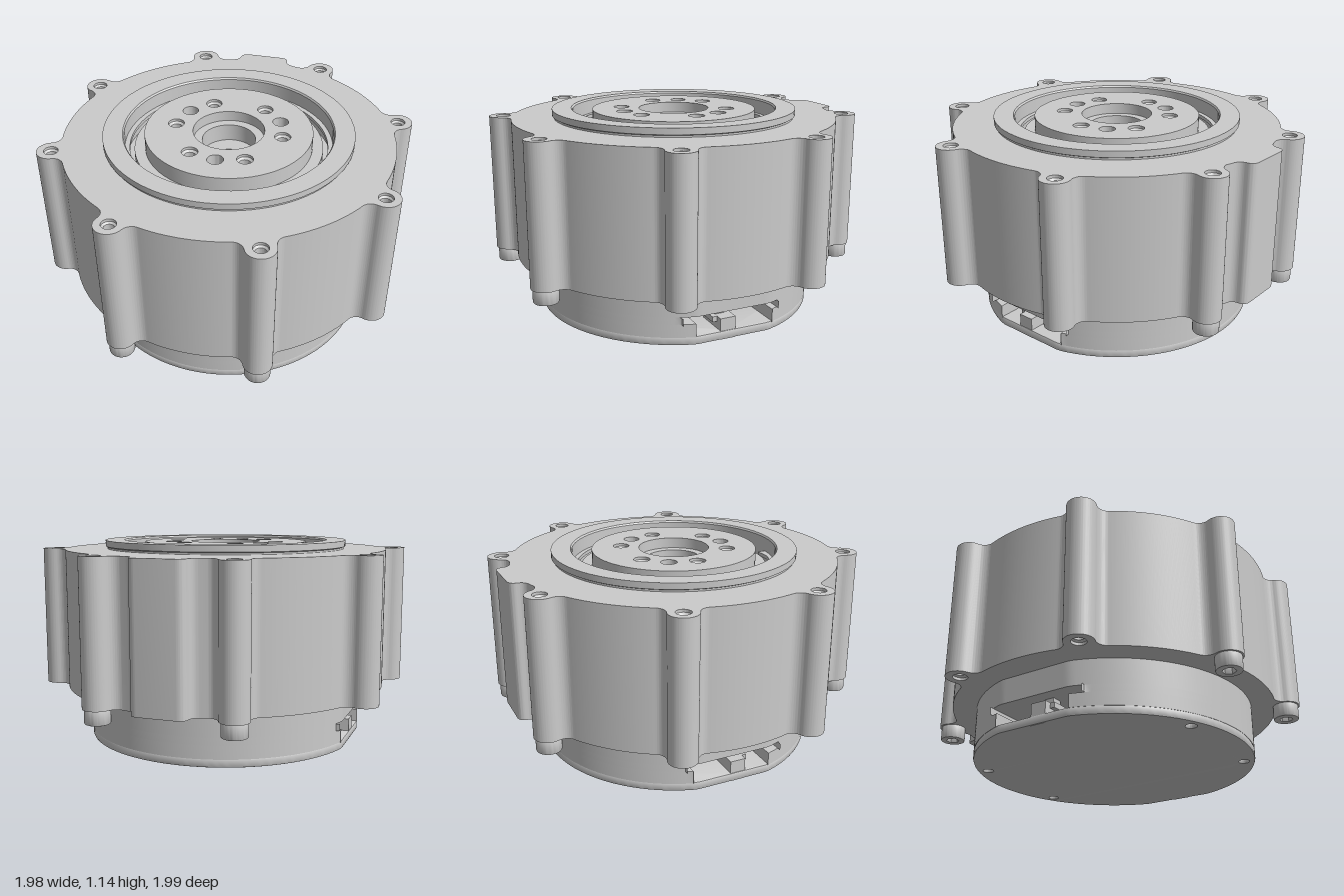
import * as THREE from 'three';
import { toCreasedNormals } from 'three/addons/utils/BufferGeometryUtils.js';

const material = new THREE.MeshStandardMaterial({ color: 0xcccccc, side: THREE.DoubleSide });
const TAU = Math.PI * 2;
const EAR_R = 0.984, EAR = 0.08, BODY_R = 0.93;
const earAngles = Array.from({ length: 8 }, (_, i) => Math.PI / 8 + i * Math.PI / 4);

const polar = (r, a) => [r * Math.cos(a), r * Math.sin(a)];

function addMesh(parent, name, geometry) {
  const mesh = new THREE.Mesh(geometry, material);
  mesh.name = name;
  parent.add(mesh);
  return mesh;
}

// Plan shapes use (x, -z); the extrusion runs up from y0 to y1
function slab(shape, y0, y1, bevel = 0) {
  const g = new THREE.ExtrudeGeometry(shape, {
    depth: y1 - y0 - 2 * bevel, curveSegments: 32, bevelEnabled: bevel > 0,
    bevelSize: bevel, bevelThickness: bevel, bevelOffset: -bevel, bevelSegments: 2,
  });
  g.rotateX(-Math.PI / 2).translate(0, y0 + bevel, 0);
  return toCreasedNormals(g, 0.5);
}

function lathe(points, segments = 96, start = 0, length = TAU) {
  const pts = points.map(([x, y]) => new THREE.Vector2(x, y));
  return toCreasedNormals(new THREE.LatheGeometry(pts, segments, start, length), 0.5);
}

function circle(r, x = 0, y = 0, Type = THREE.Shape) {
  const s = new Type();
  s.absarc(x, y, r, 0, TAU, false);
  return s;
}
const hole = (r, x = 0, y = 0) => circle(r, x, y, THREE.Path);

// Round housing with eight filleted bolt ears and one flat boss at the back
function housingShape() {
  const f = 0.06, d1 = BODY_R + f, d2 = EAR + f;
  const delta = Math.acos((d1 * d1 + EAR_R * EAR_R - d2 * d2) / (2 * d1 * EAR_R));
  const s = new THREE.Shape();
  earAngles.forEach((a, i) => {
    const [ex, ey] = polar(EAR_R, a);
    const [ax, ay] = polar(d1, a - delta), [bx, by] = polar(d1, a + delta);
    const toA = Math.atan2(ay - ey, ax - ex), toB = Math.atan2(by - ey, bx - ex);
    s.absarc(ax, ay, f, a - delta + Math.PI, toA + Math.PI, true);
    s.absarc(ex, ey, EAR, toA, toB, false);
    s.absarc(bx, by, f, toB + Math.PI, a + delta + Math.PI, true);
    const next = a + Math.PI / 4 - delta;
    if (i === 1) {
      s.lineTo(0.2, 0.91);
      s.quadraticCurveTo(0.155, 0.92, 0.153, 0.96);
      s.quadraticCurveTo(0.152, 1.0, 0.11, 1.005);
      s.lineTo(-0.11, 1.005);
      s.quadraticCurveTo(-0.152, 1.0, -0.153, 0.96);
      s.quadraticCurveTo(-0.155, 0.92, -0.2, 0.91);
    } else {
      s.absarc(0, 0, BODY_R, a + delta, next, false);
    }
  });
  s.holes.push(hole(0.65));
  earAngles.forEach((a) => s.holes.push(hole(0.04, ...polar(EAR_R, a))));
  return s;
}

// Base outline with side flats, cut to the band lo..hi across the depth
function baseShape(lo = -1, hi = 1) {
  const pts = [];
  for (let i = 0; i < 192; i++) {
    const [x, y] = polar(0.795, (i / 192) * TAU);
    const p = new THREE.Vector2(THREE.MathUtils.clamp(x, -0.765, 0.765), THREE.MathUtils.clamp(y, lo, hi));
    if (!pts.length || pts[pts.length - 1].distanceTo(p) > 1e-4) pts.push(p);
  }
  return new THREE.Shape(pts);
}

function box(parent, name, w, h, d, x, y, z) {
  addMesh(parent, name, new THREE.BoxGeometry(w, h, d)).position.set(x, y, z);
}

function buildBase() {
  const base = new THREE.Group();
  base.name = 'base';
  const bottom = baseShape();
  for (const x of [-0.32, 0.32]) for (const y of [-0.66, 0.66]) bottom.holes.push(hole(0.028, x, y));
  addMesh(base, 'bottomPlate', slab(bottom, 0, 0.05, 0.01));
  // Side walls step back to leave a passage through both flats
  addMesh(base, 'frontLowerWall', slab(baseShape(-1, -0.22), 0.045, 0.12));
  addMesh(base, 'backLowerWall', slab(baseShape(0.24, 1), 0.045, 0.12));
  addMesh(base, 'frontUpperWall', slab(baseShape(-1, -0.295), 0.12, 0.16));
  addMesh(base, 'backUpperWall', slab(baseShape(0.28, 1), 0.12, 0.16));
  addMesh(base, 'baseTop', slab(baseShape(), 0.16, 0.31));
  for (const side of [-1, 1]) {
    box(base, 'portDivider', 0.2, 0.12, 0.09, side * 0.66, 0.06, 0.03);
    box(base, 'portLedge', 0.12, 0.03, 0.035, side * 0.66, 0.105, 0.085);
    box(base, 'portPin', 0.06, 0.06, 0.055, side * 0.66, 0.14, 0.045);
  }
  return base;
}

function buildOutput() {
  const output = new THREE.Group();
  output.name = 'output';
  // Raised collar, bore and stepped floor of the groove
  addMesh(output, 'collar', lathe([
    [0.69, 1.05], [0.69, 1.1], [0.7, 1.105], [0.7, 1.14], [0.59, 1.14], [0.583, 1.13],
    [0.583, 0.96], [0.53, 0.96], [0.53, 1.04], [0.46, 1.04],
  ]));
  // Split retaining ring with its gap and lugs at the front
  addMesh(output, 'retainingRing', lathe([
    [0.555, 1.03], [0.585, 1.03], [0.585, 1.05], [0.555, 1.05], [0.555, 1.03],
  ], 96, 0.09, TAU - 0.18));
  box(output, 'ringLug', 0.12, 0.02, 0.03, -0.11, 1.04, 0.55);
  box(output, 'ringLug', 0.03, 0.02, 0.03, 0.065, 1.04, 0.55);

  // Hub with six threaded holes and three pin windows
  const hub = circle(0.47);
  hub.holes.push(hole(0.2));
  const bolts = Array.from({ length: 6 }, (_, i) => polar(0.305, i * TAU / 6));
  const pins = [1, 5, 9].map((k) => polar(0.305, k * TAU / 12));
  for (const p of [...bolts, ...pins]) hub.holes.push(hole(0.045, ...p));
  addMesh(output, 'hub', slab(hub, 0.97, 1.13));
  addMesh(output, 'hubFloor', lathe([[0.47, 0.97], [0.15, 0.97]]));
  addMesh(output, 'hubBore', lathe([
    [0.2, 1.13], [0.2, 1.07], [0.15, 1.07], [0.15, 0.97], [0.05, 0.97], [0.05, 0.9], [0, 0.9],
  ], 64));
  for (const [x, y] of bolts) {
    addMesh(output, 'hubThread', lathe([[0.045, 1.115], [0.032, 1.105], [0.032, 0.97]], 24)).position.set(x, 0, -y);
  }
  for (const [x, y] of pins) {
    const pin = addMesh(output, 'hubPin', new THREE.CylinderGeometry(0.018, 0.018, 0.08, 16));
    pin.position.set(x, 1.02, -y);
    pin.rotation.set(0, Math.atan2(y, x) + Math.PI / 2, Math.PI / 2, 'YXZ');
  }
  return output;
}

function buildScrew() {
  const screw = new THREE.Group();
  screw.name = 'screw';
  const head = circle(0.07);
  head.holes.push(new THREE.Path(
    Array.from({ length: 6 }, (_, i) => new THREE.Vector2(...polar(0.035, i * TAU / 6)))));
  addMesh(screw, 'screwHead', slab(head, 0.22, 0.305, 0.008));
  addMesh(screw, 'screwShank', new THREE.CylinderGeometry(0.036, 0.036, 0.75, 24)).position.y = 0.635;
  return screw;
}

export function createModel() {
  const model = new THREE.Group();
  model.name = 'rotaryActuator';
  const body = new THREE.Group();
  body.name = 'body';
  body.position.z = 0.005;
  model.add(body);

  addMesh(body, 'housing', slab(housingShape(), 0.3, 1.09));
  addMesh(body, 'housingTop', lathe([[0.695, 1.09], [0.64, 1.09]]));
  body.add(buildBase(), buildOutput());

  // Ear bores; the four front and back ears carry screws
  for (const a of earAngles) {
    const [x, y] = polar(EAR_R, a);
    const sleeve = addMesh(body, 'earBore', lathe([[0.04, 1.075], [0.03, 1.065], [0.03, 0.325], [0.04, 0.315]], 24));
    sleeve.position.set(x, 0, -y);
    if (Math.abs(y) > 0.6) {
      const screw = buildScrew();
      screw.position.set(x, 0, -y);
      body.add(screw);
    }
  }
  return model;
}
